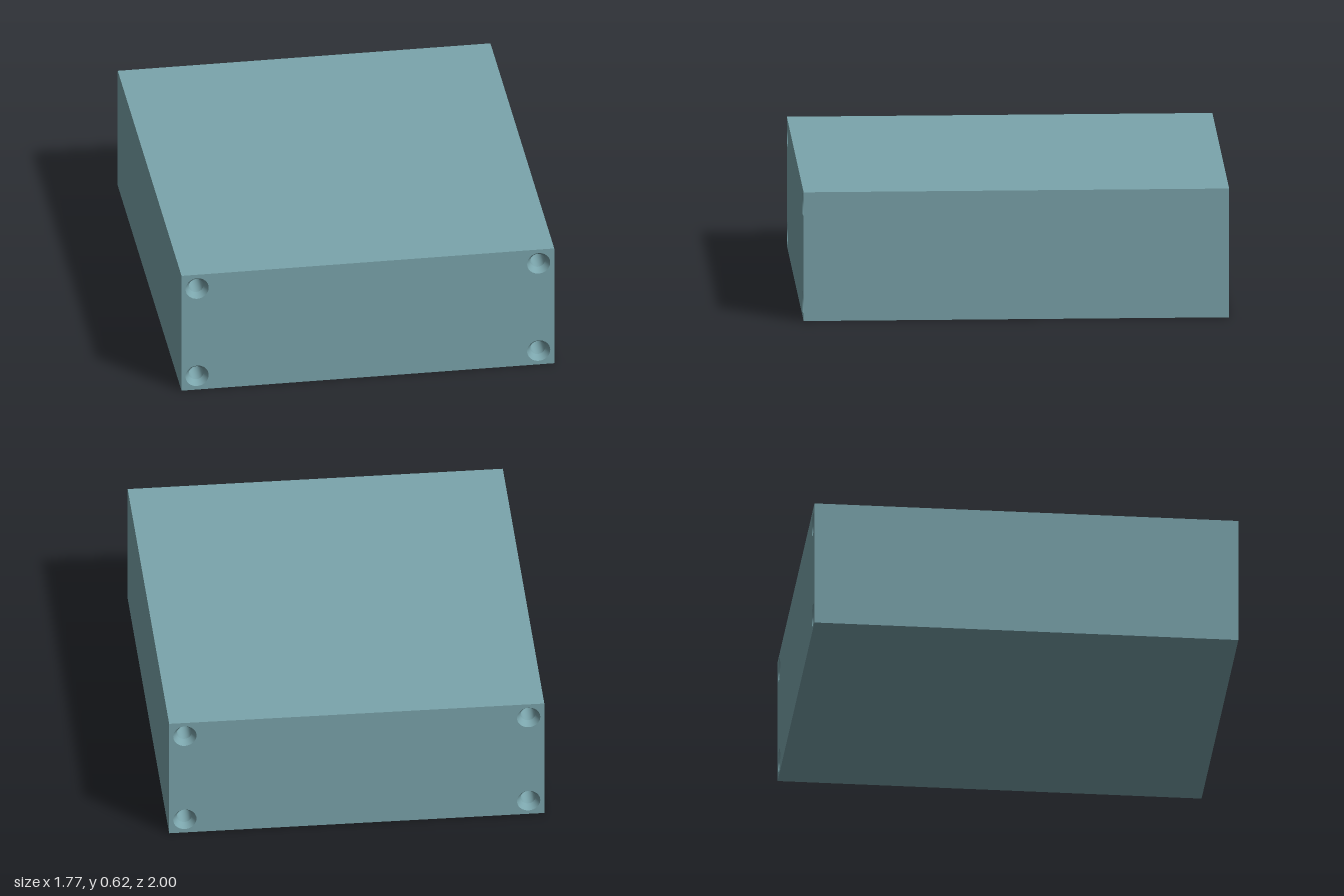
import * as THREE from 'three';

const W = 1.77, H = 0.617, L = 2;          // case size
const INSET = 0.074;                       // hole centre from the edges
const R_RIM = 0.055, R_BORE = 0.035, SINK = 0.03;
const SEG = 32;

export function createModel() {
  const group = new THREE.Group();
  group.name = 'enclosure';
  const material = new THREE.MeshStandardMaterial({ color: 0x7ba5ac });
  const add = (name, geometry) => {
    const mesh = new THREE.Mesh(geometry, material);
    mesh.name = name;
    group.add(mesh);
    return mesh;
  };

  const centres = [];
  for (const sx of [-1, 1]) for (const sy of [-1, 1])
    centres.push([sx * (W / 2 - INSET), sy * (H / 2 - INSET)]);

  // Four long walls: a box without its two z faces
  const walls = new THREE.BoxGeometry(W, H, L);
  walls.setIndex(Array.from(walls.index.array.slice(0, 24)));
  walls.clearGroups();
  add('walls', walls);

  // End faces with a screw hole in each corner
  const face = new THREE.Shape([
    new THREE.Vector2(-W / 2, -H / 2), new THREE.Vector2(W / 2, -H / 2),
    new THREE.Vector2(W / 2, H / 2), new THREE.Vector2(-W / 2, H / 2),
  ]);
  for (const [x, y] of centres)
    face.holes.push(new THREE.Path().absarc(x, y, R_RIM, 0, Math.PI * 2, true));
  const endGeometry = new THREE.ShapeGeometry(face, SEG / 2);
  add('frontFace', endGeometry).position.z = L / 2;
  const back = add('backFace', endGeometry);
  back.position.z = -L / 2;
  back.rotation.y = Math.PI;

  // Through bores, countersunk at both ends; points run downwards so the faces look inwards
  const lathe = (...pts) => new THREE.LatheGeometry(
    pts.map(([r, y]) => new THREE.Vector2(r, y)), SEG).rotateX(Math.PI / 2);
  const e = L / 2, s = e - SINK;
  const parts = {
    frontCountersink: lathe([R_RIM, e], [R_BORE, s]),
    bore: lathe([R_BORE, s], [R_BORE, -s]),
    backCountersink: lathe([R_BORE, -s], [R_RIM, -e]),
  };
  for (const [x, y] of centres)
    for (const [name, geometry] of Object.entries(parts))
      add(name, geometry).position.set(x, y, 0);

  for (const child of group.children) child.position.y += H / 2;
  return group;
}
